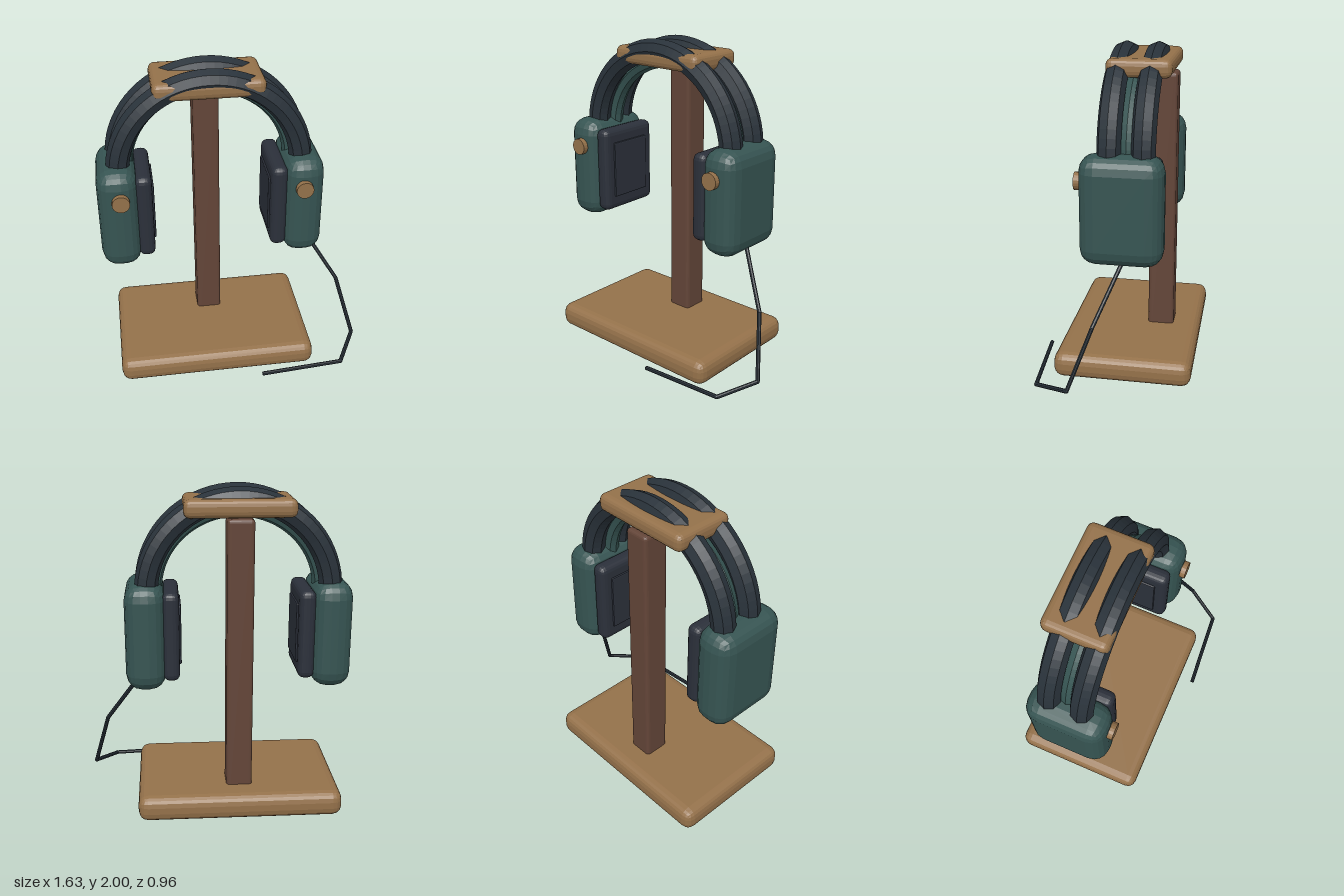
import * as THREE from 'three';
import { RoundedBoxGeometry } from 'three/addons/geometries/RoundedBoxGeometry.js';

const material = (name, color) => {
  const m = new THREE.MeshStandardMaterial({ color, flatShading: true });
  m.name = name;
  return m;
};

export function createModel() {
  const group = new THREE.Group();
  const wood = material('light wood', 0x94714a);
  const darkWood = material('dark wood', 0x634538);
  const green = material('dark green shell', 0x365452);
  const black = material('blue black padding', 0x29323a);
  const cushion = material('cushion charcoal', 0x2b303a);
  const midX = -0.13, midZ = -0.055;

  const add = (name, geometry, mat) => {
    const mesh = new THREE.Mesh(geometry, mat);
    mesh.name = name;
    group.add(mesh);
    return mesh;
  };
  // Rounded box given by its lower and upper limits on each axis
  const box = (name, mat, [x0, x1], [y0, y1], [z0, z1], radius, segments = 2) => {
    const mesh = add(name, new RoundedBoxGeometry(x1 - x0, y1 - y0, z1 - z0, segments, radius), mat);
    mesh.position.set((x0 + x1) / 2, (y0 + y1) / 2, (z0 + z1) / 2);
    return mesh;
  };

  // Stand
  box('base', wood, [-0.76, 0.5], [0, 0.16], [-0.48, 0.375], 0.06);
  box('post', darkWood, [-0.21, -0.05], [0.1, 1.83], [-0.31, -0.143], 0.022);
  box('topPlate', wood, [-0.46, 0.2], [1.83, 1.94], [-0.3, 0.092], 0.04);

  // Headband: two padded tubes and a slimmer inner one, each a half ellipse
  const arch = (name, mat, rx, ry, top, z, radius) => {
    const points = [new THREE.Vector3(midX - rx, 1.28, z)];
    for (let i = 0; i <= 16; i++) {
      const a = Math.PI * (1 - i / 16);
      points.push(new THREE.Vector3(midX + rx * Math.cos(a), top - ry + ry * Math.sin(a), z));
    }
    points.push(new THREE.Vector3(midX + rx, 1.28, z));
    add(name, new THREE.TubeGeometry(new THREE.CatmullRomCurve3(points), 40, radius, 8), mat);
  };
  arch('frontBand', black, 0.555, 0.555, 1.93, 0.026, 0.071);
  arch('rearBand', black, 0.555, 0.555, 1.93, -0.174, 0.071);
  arch('innerBand', green, 0.51, 0.49, 1.86, -0.074, 0.05);

  // Ear cups, mirrored about the middle of the headband
  for (const [side, s] of [['left', 1], ['right', -1]]) {
    const span = (a, b) => [midX + s * a, midX + s * b].sort((p, q) => p - q);
    box(side + 'Cup', green, span(0.443, 0.688), [0.78, 1.44], [-0.303, 0.195], 0.1);
    box(side + 'Cushion', cushion, span(0.36, 0.46), [0.84, 1.39], [-0.27, 0.16], 0.04);
    box(side + 'Mesh', cushion, span(0.348, 0.38), [0.93, 1.3], [-0.2, 0.09], 0.008, 1);
    const knob = add(side + 'Knob', new THREE.CylinderGeometry(0.053, 0.053, 0.034, 20), wood);
    knob.rotation.x = Math.PI / 2;
    knob.position.set(midX + s * 0.55, 1.268, 0.21);
  }

  // Cable: straight runs with a ball at each bend
  const cable = [
    [0.43, 0.89, -0.1], [0.7, 0.475, 0.075], [0.8, 0.105, 0.21], [0.67, 0.052, 0.43], [0.14, 0.052, 0.47],
  ].map((p) => new THREE.Vector3(...p));
  const up = new THREE.Vector3(0, 1, 0);
  for (let i = 0; i < cable.length - 1; i++) {
    const run = cable[i + 1].clone().sub(cable[i]);
    const mesh = add('cableRun', new THREE.CylinderGeometry(0.013, 0.013, run.length(), 8), black);
    mesh.position.copy(cable[i]).addScaledVector(run, 0.5);
    mesh.quaternion.setFromUnitVectors(up, run.normalize());
    if (i > 0) add('cableBend', new THREE.SphereGeometry(0.013, 8, 6), black).position.copy(cable[i]);
  }
  return group;
}
